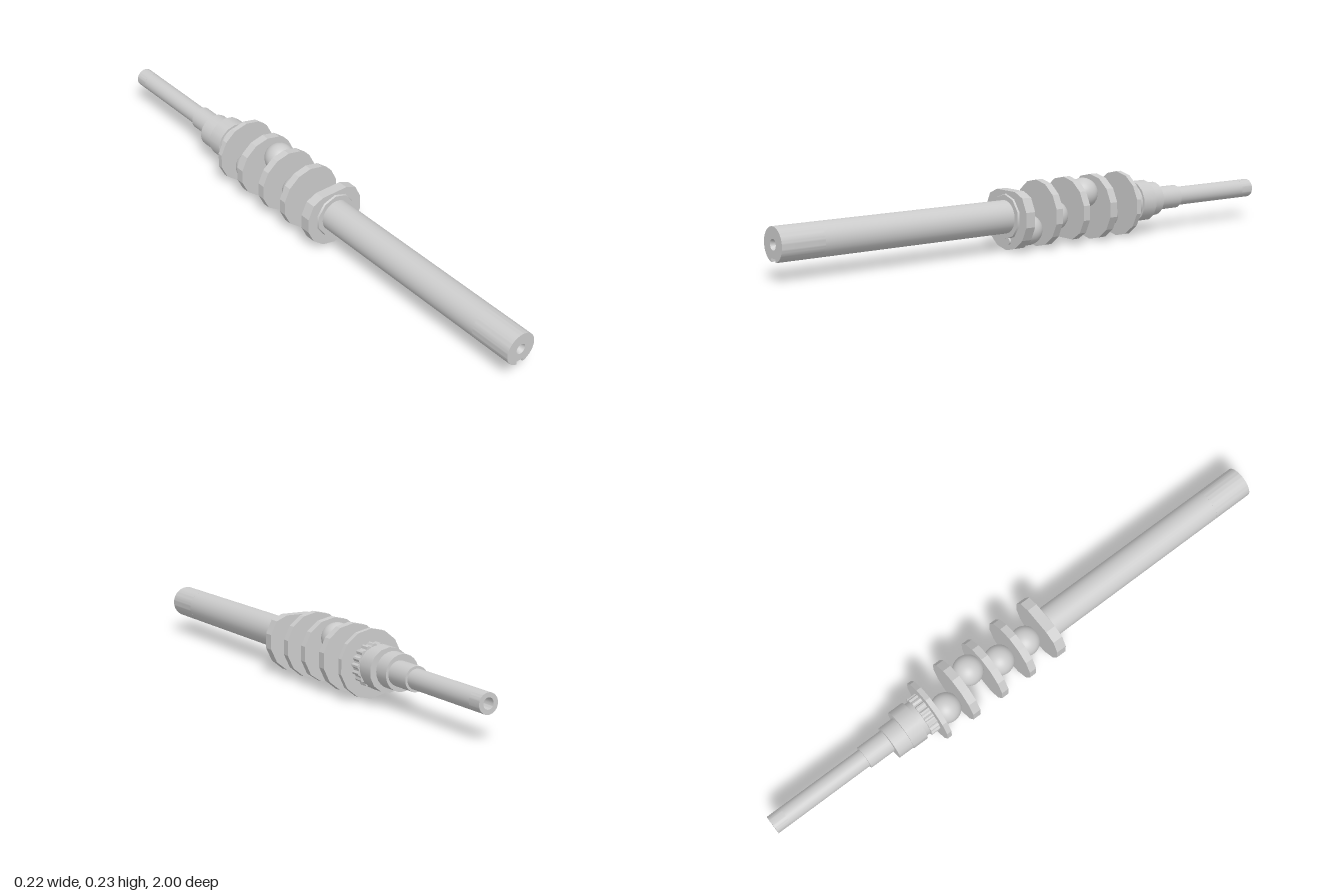
import * as THREE from 'three';
import { toCreasedNormals } from 'three/addons/utils/BufferGeometryUtils.js';

const AXIS = 0.117; // height of the rotation axis

export function createModel() {
  const model = new THREE.Group();
  const material = new THREE.MeshStandardMaterial({ color: 0xcccccc });
  const thin = new THREE.MeshStandardMaterial({ color: 0xcccccc, side: THREE.DoubleSide });

  const add = (name, geometry, x = 0, y = 0, z = 0, mat = material) => {
    const mesh = new THREE.Mesh(geometry, mat);
    mesh.name = name;
    mesh.position.set(x, AXIS + y, z);
    model.add(mesh);
    return mesh;
  };

  // Round section along z between z0 (rear) and z1 (front)
  const rod = (name, z0, z1, rRear, rFront = rRear, sides = 32, x = 0, y = 0) => {
    const g = new THREE.CylinderGeometry(rFront, rRear, z1 - z0, sides);
    g.rotateX(Math.PI / 2);
    return add(name, g, x, y, (z0 + z1) / 2);
  };

  // Flat outline extruded between z0 and z1
  const plate = (name, shape, z0, z1) => {
    const g = new THREE.ExtrudeGeometry(shape, { depth: z1 - z0, bevelEnabled: false, curveSegments: 32 });
    return add(name, toCreasedNormals(g, 0.35), 0, 0, z0);
  };

  const withHole = (shape, r) => {
    shape.holes.push(new THREE.Path().absarc(0, 0, r, 0, Math.PI * 2, true));
    return shape;
  };

  // Coarse disc, optionally cut flat at the top or the bottom
  const webShape = (r, low = -1, high = 1) => {
    const pts = [];
    for (let i = 0; i < 14; i++) {
      const a = Math.PI / 2 + (i / 14) * Math.PI * 2;
      pts.push(new THREE.Vector2(Math.cos(a) * r, THREE.MathUtils.clamp(Math.sin(a) * r, low, high)));
    }
    return new THREE.Shape(pts);
  };

  // Long front shaft, with a keyway and a centre hole at its end
  rod('frontShaft', 0.1, 0.85, 0.056);
  const R = 0.056, w = 0.013, notch = Math.asin(w / R);
  const keyed = new THREE.Shape();
  keyed.absarc(0, 0, R, -Math.PI / 2 + notch, Math.PI * 1.5 - notch, false);
  keyed.lineTo(-w, -0.043);
  keyed.lineTo(w, -0.043);
  plate('keywayEnd', withHole(keyed, 0.018), 0.85, 1);

  // Conical centre hole at the front, plain bore at the rear
  const cone = new THREE.ConeGeometry(0.018, 0.05, 24, 1, true);
  cone.rotateX(-Math.PI / 2);
  add('frontCentreHole', cone, 0, 0, 0.975, thin);

  // Crank webs: [rear z, front z, lower cut, upper cut]
  const webs = [
    [0.093, 0.13, -1, 0.088],
    [-0.024, 0.003, -1, 1],
    [-0.142, -0.115, -0.097, 1],
    [-0.263, -0.233, -1, 1],
    [-0.372, -0.354, -1, 1],
  ];
  webs.forEach(([z0, z1, low, high], i) =>
    plate('crankWeb' + (i + 1), webShape(0.114, low, high), z0, z1));

  // Low boss and locating pin on the front web
  rod('frontBoss', 0.125, 0.136, 0.08, 0.075, 10);
  rod('locatingPin', 0.125, 0.137, 0.012, 0.012, 16, 0.016, -0.081);

  // Round journals between the webs: [x, y from the axis, z]
  const journals = [
    [0.01, -0.051, 0.05],
    [0, -0.016, -0.069],
    [0.016, 0.053, -0.187],
    [-0.018, -0.037, -0.31],
  ];
  journals.forEach(([x, y, z], i) =>
    add('journal' + (i + 1), new THREE.SphereGeometry(0.053, 32, 20), x, y, z));

  // Toothed ring behind the last web
  const teeth = [];
  for (let i = 0; i < 72; i++) {
    const a = (i / 72) * Math.PI * 2;
    const r = i % 4 < 2 ? 0.073 : 0.067;
    teeth.push(new THREE.Vector2(Math.cos(a) * r, Math.sin(a) * r));
  }
  plate('toothedRing', new THREE.Shape(teeth), -0.406, -0.37);

  // Stepped rear end
  rod('ringGroove', -0.43, -0.4, 0.064);
  rod('rearCollar', -0.481, -0.424, 0.073, 0.073, 14);
  rod('eccentricCollar', -0.537, -0.478, 0.06, 0.06, 24, -0.01);
  rod('rearStep', -0.632, -0.53, 0.041);
  rod('rearShaft', -0.95, -0.62, 0.033);
  const end = new THREE.Shape().absarc(0, 0, 0.033, 0, Math.PI * 2, false);
  plate('rearShaftEnd', withHole(end, 0.018), -1, -0.95);

  return model;
}
